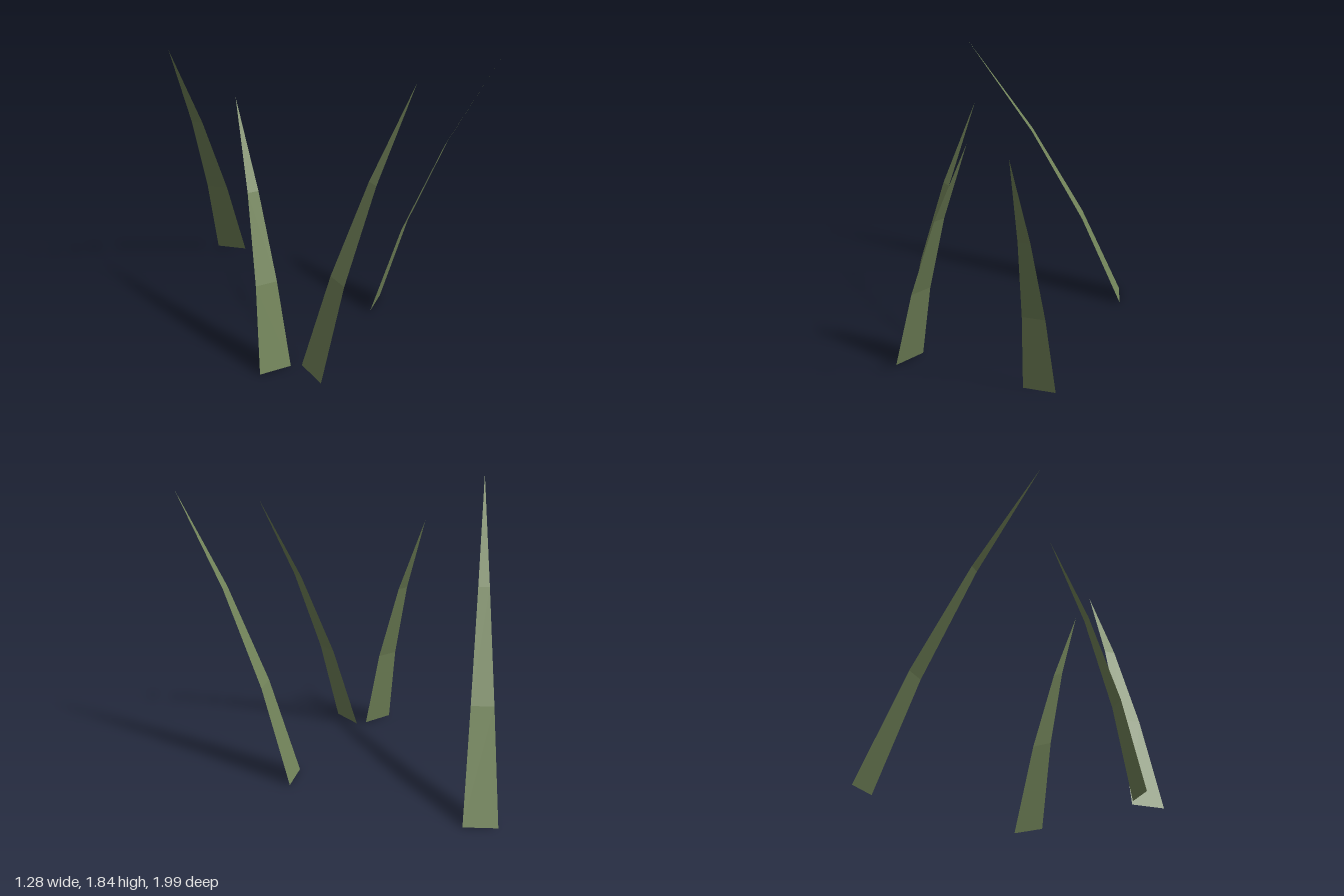
import * as THREE from 'three';

const SEGMENTS = 3;

// One flat blade: a strip that tapers evenly to a point while bending outwards.
// left, right: base corners [x, z]; tip: [x, y, z]; bend: how strongly it curves
function bladeGeometry({ left, right, tip, bend }) {
  const cx = (left[0] + right[0]) / 2, cz = (left[1] + right[1]) / 2;
  const wx = (right[0] - left[0]) / 2, wz = (right[1] - left[1]) / 2;
  const positions = [], index = [];
  for (let i = 0; i <= SEGMENTS; i++) {
    const t = i / SEGMENTS;
    const lean = t - bend * (t - t * t);
    const y = tip[1] * (t + 0.055 * (t - t * t));
    const x = cx + (tip[0] - cx) * lean, z = cz + (tip[2] - cz) * lean;
    const w = 1 - t;
    positions.push(x - wx * w, y, z - wz * w);
    if (i < SEGMENTS) positions.push(x + wx * w, y, z + wz * w);
  }
  for (let i = 0; i < SEGMENTS; i++) {
    const a = i * 2;
    index.push(a, a + 1, a + 2);
    if (i < SEGMENTS - 1) index.push(a + 1, a + 3, a + 2);
  }
  const geometry = new THREE.BufferGeometry();
  geometry.setAttribute('position', new THREE.Float32BufferAttribute(positions, 3));
  geometry.setIndex(index);
  const flat = geometry.toNonIndexed();
  flat.computeVertexNormals();
  return flat;
}

export function createModel() {
  const group = new THREE.Group();
  group.name = 'grassTuft';
  const grass = new THREE.MeshStandardMaterial({ color: 0x74865b, side: THREE.DoubleSide, flatShading: true });
  grass.name = 'oliveGrass';

  const blades = {
    backBlade: { left: [0.285, -1.0], right: [0.385, -0.82], tip: [-0.59, 1.84, -0.41], bend: 0.27 },
    frontLeftBlade: { left: [0.335, 0.375], right: [0.53, 0.31], tip: [0.64, 1.815, 0.99], bend: 0.37 },
    frontRightBlade: { left: [-0.465, 0.62], right: [-0.405, 0.42], tip: [0.205, 1.705, 0.72], bend: 0.35 },
    rightBlade: { left: [-0.64, 0.295], right: [-0.455, 0.375], tip: [-0.35, 1.565, -0.135], bend: 0.48 },
  };
  for (const [name, spec] of Object.entries(blades)) {
    const mesh = new THREE.Mesh(bladeGeometry(spec), grass);
    mesh.name = name;
    group.add(mesh);
  }
  return group;
}
